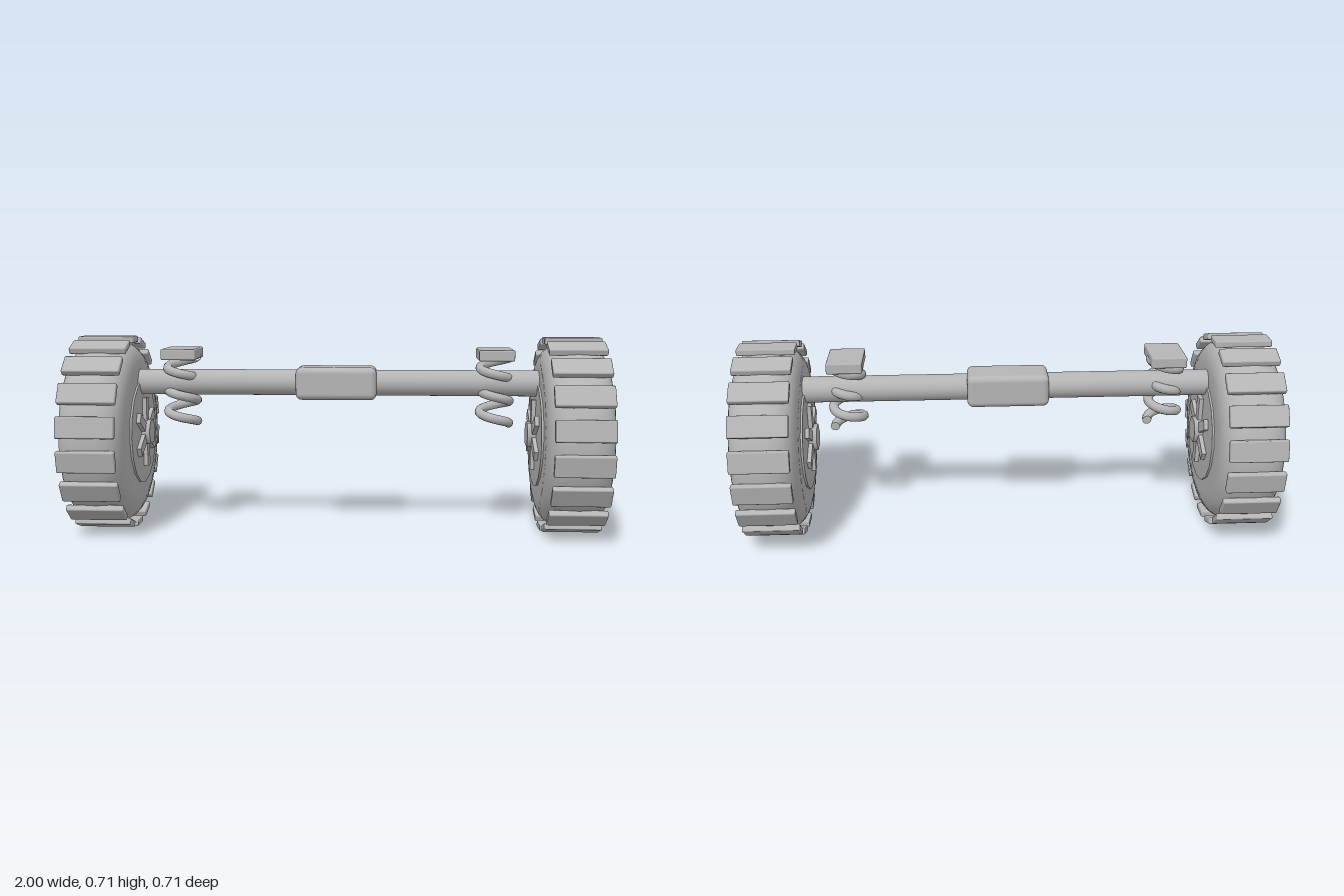
import * as THREE from 'three';
import { RoundedBoxGeometry } from 'three/addons/geometries/RoundedBoxGeometry.js';

const grey = new THREE.MeshStandardMaterial({ color: 0xb4b4b4 });
grey.name = 'plain grey';

function add(parent, name, geometry, x = 0, y = 0, z = 0) {
  const mesh = new THREE.Mesh(geometry, grey);
  mesh.name = name;
  mesh.position.set(x, y, z);
  parent.add(mesh);
  return mesh;
}

// Cylinder lying along x
function rod(radius, length, sides) {
  return new THREE.CylinderGeometry(radius, radius, length, sides).rotateZ(Math.PI / 2);
}

function makeWheel(name, x) {
  const wheel = new THREE.Group();
  wheel.name = name;
  wheel.position.set(x, 0.354, 0);

  // Tyre: flat sidewalls with a softly rounded shoulder
  const profile = [new THREE.Vector2(0.1, -0.118)];
  for (let i = 0; i <= 20; i++) {
    const a = -Math.PI / 2 + (Math.PI * i) / 20;
    const s = Math.sin(a);
    profile.push(new THREE.Vector2(
      0.22 + 0.117 * Math.pow(Math.max(Math.cos(a), 0), 0.75),
      0.118 * Math.sign(s) * Math.pow(Math.abs(s), 0.75)
    ));
  }
  profile.push(new THREE.Vector2(0.1, 0.118));
  add(wheel, 'tyre', new THREE.LatheGeometry(profile, 40).rotateZ(Math.PI / 2));

  // Tread blocks around the tyre
  const block = new RoundedBoxGeometry(0.204, 0.024, 0.076, 2, 0.005);
  for (let i = 0; i < 18; i++) {
    const a = (i * Math.PI) / 9;
    const tread = add(wheel, 'treadBlock', block, 0, 0.341 * Math.cos(a), 0.341 * Math.sin(a));
    tread.rotation.x = a;
  }

  // Rim, hub and spokes run right through, so both faces match
  add(wheel, 'rim', rod(0.19, 0.25, 16).toNonIndexed());
  add(wheel, 'hub', rod(0.049, 0.31, 6));
  const spoke = new THREE.BoxGeometry(0.28, 0.127, 0.037).translate(0, 0.0635, 0);
  for (let i = 0; i < 6; i++) {
    add(wheel, 'spoke', spoke).rotation.x = (i * Math.PI) / 3;
  }
  return wheel;
}

// Helix rising from the +x side, passing the front first
class Helix extends THREE.Curve {
  getPoint(t, target = new THREE.Vector3()) {
    const a = t * 3 * Math.PI * 2;
    return target.set(0.053 * Math.cos(a), 0.395 + 0.24 * t, 0.053 * Math.sin(a));
  }
}

function makeSpring(name, x) {
  const suspension = new THREE.Group();
  suspension.name = name;
  suspension.position.x = x;
  add(suspension, 'coil', new THREE.TubeGeometry(new Helix(), 96, 0.017, 10));
  // Closed ends of the wire
  add(suspension, 'coilLowerEnd', new THREE.CircleGeometry(0.017, 10).rotateY(Math.PI), 0.053, 0.395, 0);
  add(suspension, 'topPlate', new RoundedBoxGeometry(0.126, 0.04, 0.166, 2, 0.006), 0, 0.645, 0);
  return suspension;
}

export function createModel() {
  const model = new THREE.Group();
  model.name = 'axleAssembly';

  add(model, 'axle', rod(0.047, 1.52, 24), 0, 0.54, 0);
  add(model, 'differential', new RoundedBoxGeometry(0.292, 0.118, 0.14, 4, 0.022), -0.003, 0.54, 0);

  for (const [side, s] of [['left', 1], ['right', -1]]) {
    model.add(makeWheel(side + 'Wheel', s * 0.845));
    model.add(makeSpring(side + 'Spring', s * 0.572));
  }
  return model;
}
